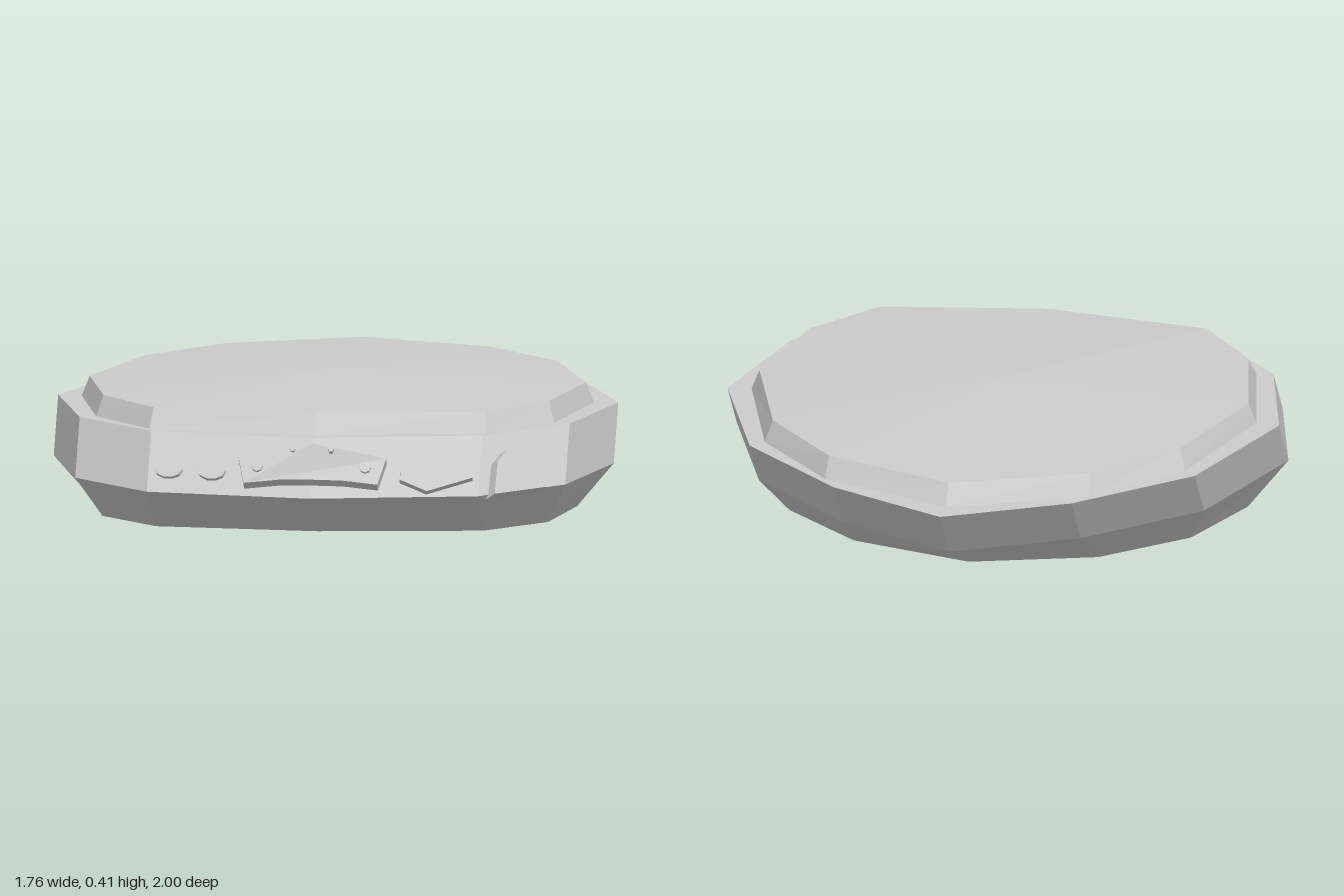
import * as THREE from 'three';

const material = new THREE.MeshStandardMaterial({ color: 0xcccccc, flatShading: true });

// Half outlines [x, z] running from the back point to the front point.
const RIM = [[0, -1], [0.38, -0.8], [0.71, -0.48], [0.88, 0.02], [0.77, 0.48], [0.52, 0.75], [0, 0.85]];
const BASE = [[0, -0.54], [0.39, -0.42], [0.64, -0.19], [0.76, 0.12], [0.7, 0.46], [0.515, 0.66], [0, 0.72]];
const BEZEL_LOW = [[0, -0.91], [0.42, -0.73], [0.67, -0.44], [0.805, 0.03], [0.72, 0.46], [0.53, 0.71], [0, 0.8]];
const BEZEL_TOP = [[0, -0.86], [0.415, -0.69], [0.65, -0.41], [0.78, 0.03], [0.7, 0.43], [0.52, 0.67], [0, 0.75]];
const LOW = 0.145, HIGH = 0.315, SLANT = 0.15;

// Mirrors a half outline into a closed ring at height y.
function ring(half, y, dz = 0) {
  const mirrored = half.slice(1, -1).reverse().map(([x, z]) => [-x, z]);
  return [...half, ...mirrored].map(([x, z]) => [x, y, z + dz]);
}

// Joins rings from bottom to top and closes both ends with fans.
function loft(name, rings, bottomCentre, topCentre) {
  const p = [];
  const n = rings[0].length;
  const last = rings[rings.length - 1];
  for (let i = 0; i < n; i++) {
    const j = (i + 1) % n;
    for (let r = 0; r < rings.length - 1; r++) {
      const a = rings[r], b = rings[r + 1];
      p.push(...a[j], ...a[i], ...b[i], ...a[j], ...b[i], ...b[j]);
    }
    p.push(...bottomCentre, ...rings[0][i], ...rings[0][j]);
    p.push(...topCentre, ...last[j], ...last[i]);
  }
  const g = new THREE.BufferGeometry();
  g.setAttribute('position', new THREE.Float32BufferAttribute(p, 3));
  g.computeVertexNormals();
  const mesh = new THREE.Mesh(g, material);
  mesh.name = name;
  return mesh;
}

// Depth of the slanted front wall at a given x and y.
function wallZ(x, y) {
  const ax = Math.abs(x);
  const [a, b] = ax > 0.52 ? [RIM[4], RIM[5]] : [RIM[5], RIM[6]];
  const t = (a[0] - ax) / (a[0] - b[0]);
  return a[1] + (b[1] - a[1]) * t + SLANT * (HIGH - y) / (HIGH - LOW);
}

// Extrudes an [x, y] outline outwards from the front wall along a direction.
function wallPart(name, outline, from, to, [dx, dy, dz]) {
  const shape = new THREE.Shape(outline.map(([x, y]) => new THREE.Vector2(x, y)));
  const g = new THREE.ExtrudeGeometry(shape, { depth: 1, bevelEnabled: false });
  const p = g.attributes.position;
  for (let i = 0; i < p.count; i++) {
    const x = p.getX(i), y = p.getY(i);
    const d = from + (to - from) * p.getZ(i);
    p.setXYZ(i, x + dx * d, y + dy * d, wallZ(x, y) + dz * d);
  }
  g.computeVertexNormals();
  const mesh = new THREE.Mesh(g, material);
  mesh.name = name;
  return mesh;
}

function oval(cx, cy, rx, ry, sides) {
  return Array.from({ length: sides }, (_, i) => {
    const a = (i / sides) * Math.PI * 2;
    return [cx + rx * Math.cos(a), cy + ry * Math.sin(a)];
  });
}

export function createModel() {
  const model = new THREE.Group();
  const front = [0, 0.66, 0.75], frontLeft = [0.14, 0.65, 0.74];
  const frontRight = [-0.14, 0.65, 0.74], corner = [0.63, 0.51, 0.58];

  // Faceted body with a flared underside
  model.add(loft('body', [ring(BASE, 0), ring(RIM, LOW, SLANT), ring(RIM, HIGH)], [0, 0, 0.1], [0, HIGH, 0]));

  // Raised plate with a shallow domed top
  model.add(loft('topPlate', [ring(BEZEL_LOW, HIGH), ring(BEZEL_TOP, 0.378)], [0, HIGH, 0], [0, 0.414, 0.02]));

  // Two small oval buttons
  for (const x of [-0.455, -0.317]) {
    model.add(wallPart('ovalButton', oval(x, 0.207, 0.045, 0.024, 10), -0.01, 0.012, frontRight));
  }

  // Central panel, with its studs
  const panel = [[-0.21, 0.165], [-0.1, 0.178], [0, 0.182], [0.1, 0.178], [0.21, 0.165],
    [0.232, 0.238], [0.1, 0.28], [0, 0.283], [-0.1, 0.28], [-0.232, 0.238]];
  model.add(wallPart('frontPanel', panel, -0.01, 0.034, front));
  for (const side of [-1, 1]) {
    model.add(wallPart('panelStud', oval(side * 0.17, 0.212, 0.018, 0.016, 8), 0.02, 0.042, front));
    model.add(wallPart('panelPin', oval(side * 0.06, 0.264, 0.009, 0.009, 6), 0.02, 0.042, front));
  }

  // Wide irregular button
  const wide = [[0.275, 0.185], [0.36, 0.152], [0.5, 0.188], [0.5, 0.222], [0.42, 0.272], [0.335, 0.278], [0.3, 0.262], [0.275, 0.22]];
  model.add(wallPart('wideButton', wide, -0.01, 0.02, frontLeft));

  // Arched button on the corner facet
  const arch = [[0.55, 0.135], [0.7, 0.135], [0.69, 0.17], [0.665, 0.212], [0.61, 0.25], [0.575, 0.255], [0.552, 0.228]];
  model.add(wallPart('archButton', arch, -0.01, 0.036, corner));

  return model;
}
